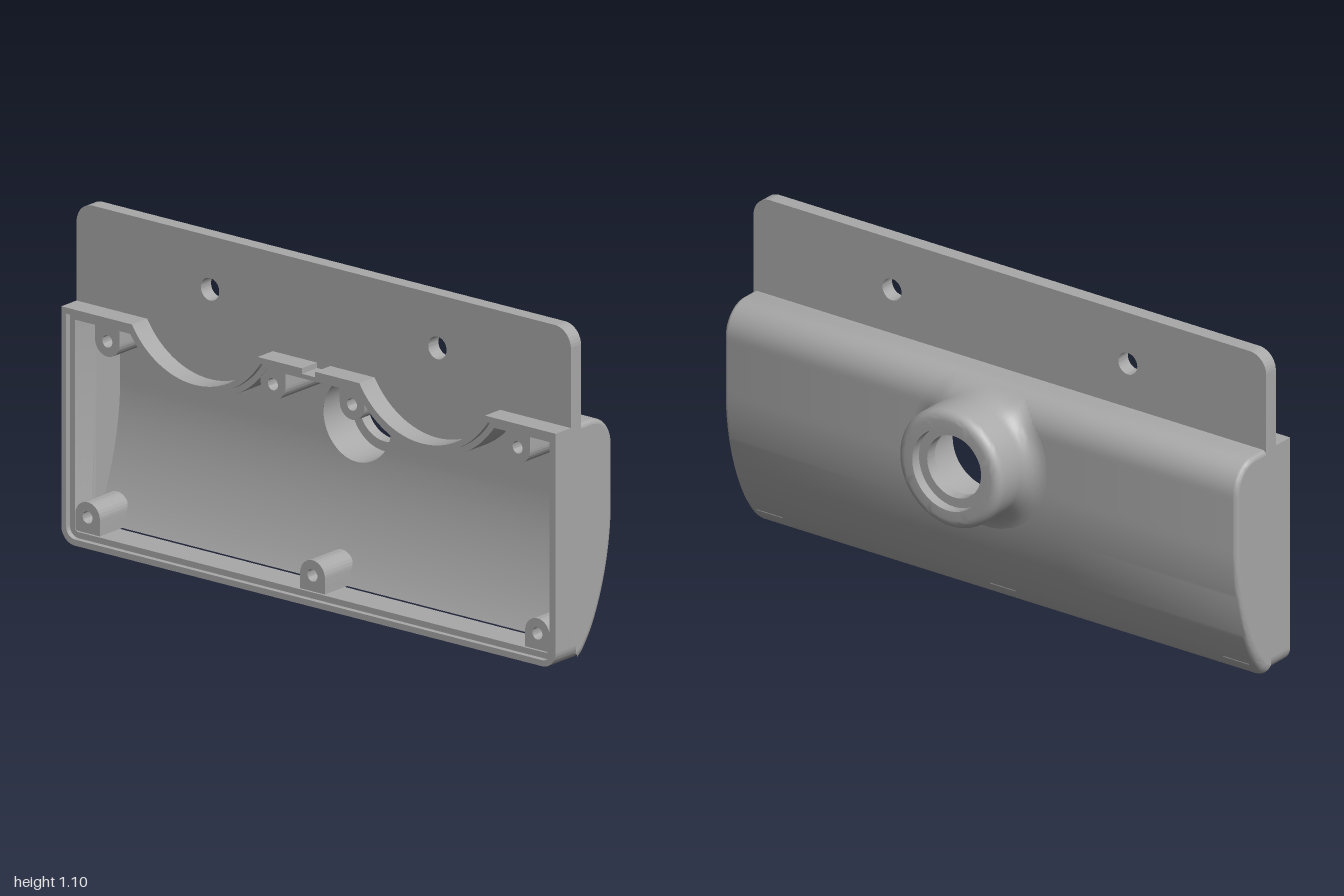
import * as THREE from 'three';
import { toCreasedNormals } from 'three/addons/utils/BufferGeometryUtils.js';

const BORE_Y = 0.55, SCALLOP_X = 0.46, SCALLOP_Y = 0.925;

// Grid surface from point(i, j); skip(i, j) leaves a cell open.
function grid(ni, nj, point, flip = false, skip = () => false) {
  const pos = [], idx = [];
  for (let i = 0; i < ni; i++) for (let j = 0; j < nj; j++) pos.push(...point(i, j));
  for (let i = 0; i < ni - 1; i++) for (let j = 0; j < nj - 1; j++) {
    if (skip(i, j)) continue;
    const a = i * nj + j, b = a + nj, c = a + 1, d = b + 1;
    idx.push(...(flip ? [a, c, b, b, c, d] : [a, b, c, b, d, c]));
  }
  const g = new THREE.BufferGeometry();
  g.setAttribute('position', new THREE.Float32BufferAttribute(pos, 3));
  g.setIndex(idx);
  return toCreasedNormals(g, 0.6);
}

// Extrude a shape in z between two depths.
function slab(shape, z0, z1) {
  const g = new THREE.ExtrudeGeometry(shape, { depth: z1 - z0, bevelEnabled: false, curveSegments: 28 });
  g.translate(0, 0, z0);
  return toCreasedNormals(g, 0.5);
}

// Side profiles in (z, y), from the top edge round the back to the bottom edge.
function outerProfile() {
  const p = new THREE.Path();
  p.moveTo(0.10, 0.775);
  p.lineTo(0.045, 0.775);
  p.bezierCurveTo(-0.01, 0.775, -0.055, 0.73, -0.055, 0.67);
  p.lineTo(-0.055, 0.48);
  p.bezierCurveTo(-0.055, 0.28, 0.02, 0.1, 0.07, 0.035);
  p.quadraticCurveTo(0.088, 0.008, 0.10, 0);
  return p.getSpacedPoints(64);
}
function innerProfile() {
  const p = new THREE.Path();
  p.moveTo(0.10, 0.735);
  p.lineTo(0.045, 0.735);
  p.bezierCurveTo(0.01, 0.735, -0.015, 0.7, -0.015, 0.64);
  p.lineTo(-0.015, 0.48);
  p.bezierCurveTo(-0.015, 0.3, 0.05, 0.13, 0.10, 0.045);
  return p.getSpacedPoints(56);
}

// Depth z of a profile at height y.
function depthAt(pts, y) {
  for (let j = 0; j < pts.length - 1; j++) {
    const a = pts[j], b = pts[j + 1];
    if (a.y >= y && y >= b.y && a.y > b.y) return a.x + (b.x - a.x) * (a.y - y) / (a.y - b.y);
  }
  return pts[0].x;
}

// Outline of the front frame, inset by t: rounded below, two scallops on top.
function frameOutline(t, target, notch = false) {
  const w = 1 - t, top = 0.775 - t, c = Math.max(0.055 - t, 0.012), r = 0.295 + t;
  const phi = Math.asin((0.15 + t) / r);
  target.moveTo(-w + c, t);
  target.lineTo(w - c, t);
  target.absarc(w - c, t + c, c, -Math.PI / 2, 0, false);
  target.lineTo(w, top);
  target.absarc(SCALLOP_X, SCALLOP_Y, r, -phi, phi - Math.PI, true);
  if (notch) {
    for (const [x, y] of [[0.027, top], [0.027, 0.757], [-0.027, 0.757], [-0.027, top]]) target.lineTo(x, y);
  }
  target.absarc(-SCALLOP_X, SCALLOP_Y, r, -phi, phi - Math.PI, true);
  target.lineTo(-w, top);
  target.lineTo(-w, t + c);
  target.absarc(-w + c, t + c, c, Math.PI, Math.PI * 1.5, false);
  return target;
}

function circle(x, y, r) {
  return new THREE.Path().absarc(x, y, r, 0, Math.PI * 2, true);
}

export function createModel() {
  const group = new THREE.Group();
  const grey = new THREE.MeshStandardMaterial({ color: 0xa8a8a8 });
  grey.name = 'grey';
  const add = (name, geo) => {
    const m = new THREE.Mesh(geo, grey);
    m.name = name;
    group.add(m);
    return m;
  };

  const outer = outerProfile(), inner = innerProfile();
  const normals = outer.map((p, j) => {
    const a = outer[Math.max(j - 1, 0)], b = outer[Math.min(j + 1, outer.length - 1)];
    const l = Math.hypot(b.x - a.x, b.y - a.y);
    return new THREE.Vector2((b.y - a.y) / l, -(b.x - a.x) / l);
  });
  const edgeRadius = j => 0.015 + 0.04 * Math.max(0, -normals[j].y) ** 2;

  // Stations across the width: rounded ends and a fine middle around the bore
  const middle = Array.from({ length: 41 }, (_, i) => ({ x: -0.3 + i * 0.015 }));
  const turns = [90, 67.5, 45, 22.5, 0].map(d => d * Math.PI / 180);
  const stations = [
    ...turns.map(a => ({ s: -1, a })), ...middle, ...turns.slice().reverse().map(a => ({ s: 1, a })),
  ];
  const outerRaw = (i, j) => {
    const st = stations[i], p = outer[j], R = edgeRadius(j);
    if (!st.s) return [st.x, p.y, p.x];
    const d = R * (1 - Math.cos(st.a));
    return [st.s * (1 - R + R * Math.sin(st.a)), p.y - normals[j].y * d, p.x - normals[j].x * d];
  };
  const innerX = [-0.96, ...middle.map(m => m.x), 0.96];
  const innerRaw = (i, j) => [innerX[i], inner[j].y, inner[j].x];

  // Curved skin with a round opening: points inside the circle move out to its rim
  const skin = (ni, pts, raw, radius, flip) => {
    const dist = (i, j) => { const p = raw(i, j); return Math.hypot(p[0], p[1] - BORE_Y); };
    const inside = (i, j) => dist(i, j) < radius;
    const point = (i, j) => {
      const p = raw(i, j), d = dist(i, j);
      if (d >= radius || d < 1e-6) return p;
      const y = BORE_Y + (p[1] - BORE_Y) * radius / d;
      return [p[0] * radius / d, y, depthAt(pts, y)];
    };
    return grid(ni, pts.length, point, flip,
      (i, j) => inside(i, j) && inside(i + 1, j) && inside(i, j + 1) && inside(i + 1, j + 1));
  };
  add('outerShell', skin(stations.length, outer, outerRaw, 0.2, false));
  add('innerShell', skin(innerX.length, inner, innerRaw, 0.137, true));

  // End walls
  const wall = new THREE.Shape(outer.map((p, j) => {
    const R = edgeRadius(j);
    return new THREE.Vector2(p.x - normals[j].x * R, p.y - normals[j].y * R);
  }));
  for (const [name, x] of [['leftEndWall', 1], ['rightEndWall', -0.96]]) {
    const g = slab(wall, 0, 0.04);
    g.rotateY(-Math.PI / 2);
    g.translate(x, 0, 0);
    add(name, g);
  }

  // Rear spout: bore, rounded rim and a fillet that follows the curved back
  const rim = [0, 1, 2, 3, 4, 5, 6].map(k => k * Math.PI / 12);
  const spout = [
    [0.137, null], [0.137, -0.15], [0.105, -0.15], [0.105, -0.19], [0.137, -0.19], [0.137, -0.225],
    ...rim.map(a => [0.168 + 0.032 * Math.sin(a), -0.193 - 0.032 * Math.cos(a)]),
  ];
  const FILLET = 9;
  add('rearSpout', grid(73, spout.length + FILLET, (i, j) => {
    const a = i / 72 * Math.PI * 2, c = Math.cos(a), s = Math.sin(a);
    if (j < spout.length) {
      const [r, z] = spout[j], y = BORE_Y + r * s;
      return [r * c, y, z ?? depthAt(inner, y)];
    }
    const t = (j - spout.length) / (FILLET - 1) * Math.PI / 2;
    const flare = s > 0 ? Math.min(0.06, 0.215 / s - 0.2) : 0.06;
    const r = 0.2 + flare * (1 - Math.cos(t)), y = BORE_Y + r * s;
    return [r * c, y, -0.11 + (depthAt(outer, y) + 0.11) * Math.sin(t)];
  }));

  // Mounting plate, with the cavity opening and two screw holes
  const plate = new THREE.Shape();
  plate.moveTo(-0.945, 0);
  plate.absarc(0.945, 0.055, 0.055, -Math.PI / 2, 0, false);
  plate.absarc(0.935, 1.035, 0.065, 0, Math.PI / 2, false);
  plate.absarc(-0.935, 1.035, 0.065, Math.PI / 2, Math.PI, false);
  plate.absarc(-0.945, 0.055, 0.055, Math.PI, Math.PI * 1.5, false);
  plate.holes.push(frameOutline(0.04, new THREE.Path()));
  for (const s of [-1, 1]) plate.holes.push(circle(s * SCALLOP_X, SCALLOP_Y, 0.037));
  add('mountingPlate', slab(plate, 0.10, 0.15));

  // Front frame: a full-width wall with a thinner lip ahead of it
  for (const [name, t, z0, z1] of [['frontFrame', 0.04, 0.15, 0.207], ['frontLip', 0.02, 0.207, 0.225]]) {
    const frame = frameOutline(0, new THREE.Shape(), true);
    frame.holes.push(frameOutline(t, new THREE.Path()));
    add(name, slab(frame, z0, z1));
  }

  // Screw posts along the top and bottom walls
  const post = new THREE.Shape();
  post.moveTo(-0.05, -0.052);
  post.lineTo(0.05, -0.052);
  post.absarc(0, 0, 0.05, 0, Math.PI, false);
  post.holes.push(circle(0, 0, 0.02));
  for (const x of [-0.91, 0, 0.91]) add('bottomScrewPost', slab(post, 0.062, 0.205)).position.set(x, 0.095, 0);
  for (const x of [-0.83, -0.16, 0.16, 0.83]) {
    const m = add('topScrewPost', slab(post, 0, 0.205));
    m.position.set(x, 0.69, 0);
    m.rotation.z = Math.PI;
  }
  return group;
}
